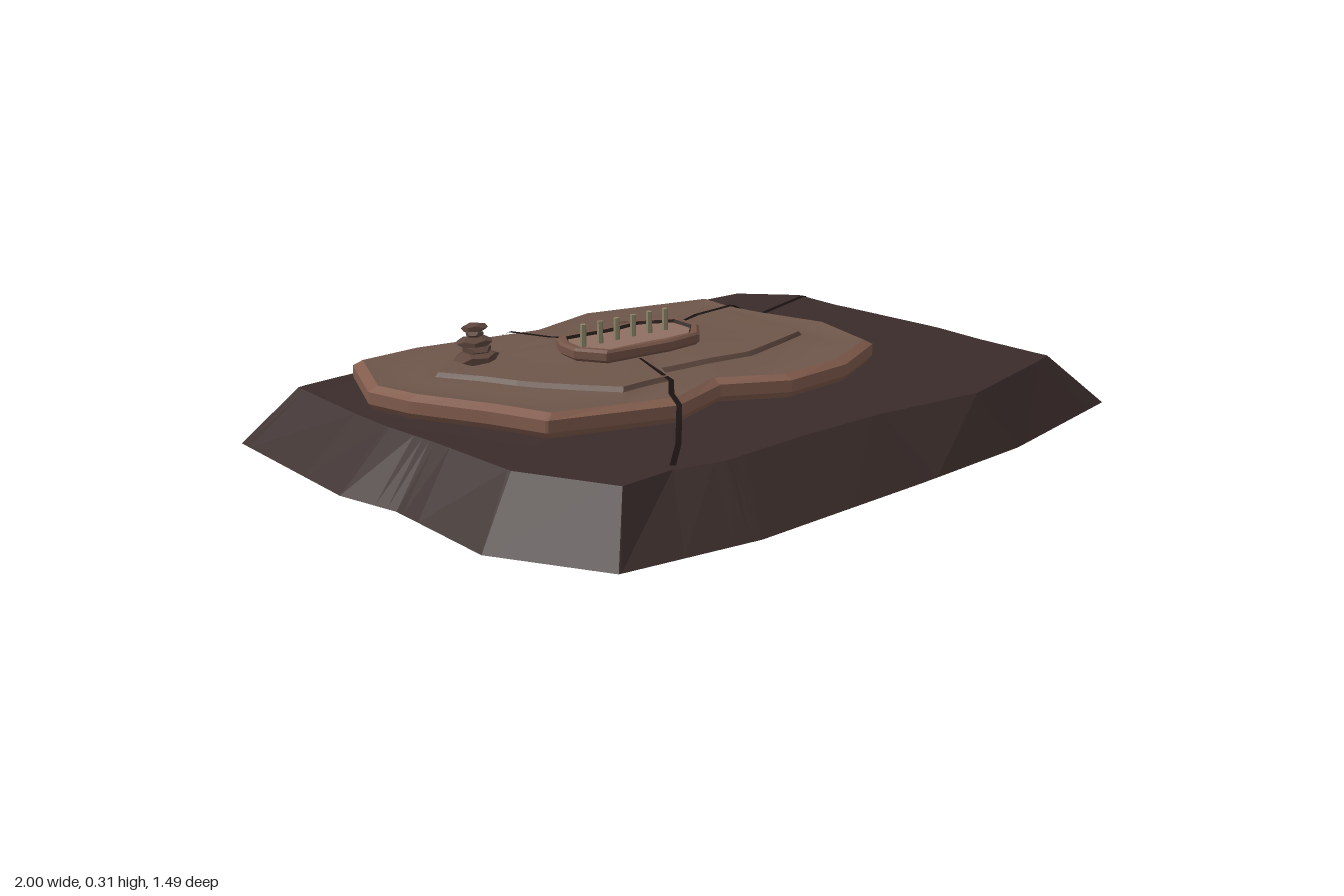
import * as THREE from 'three';

// Centre from which every outline is seen; all contours are star-shaped around it
const CX = -0.14, CZ = -0.1;

// Outlines as [x, z], running back-left, back, right, front, left
const baseFoot = [[-.98, -.625], [-.57, -.74], [-.3, -.75], [.82, -.685], [.97, -.485], [.96, -.3], [1, .08],
  [.96, .57], [.47, .68], [.09, .71], [-.46, .74], [-.82, .695], [-.97, .42], [-.96, .07], [-1, -.11]];
const baseTop = [[-.855, -.55], [-.5, -.6], [-.28, -.61], [.7, -.62], [.82, -.47], [.81, -.3], [.84, .08],
  [.82, .49], [.4, .6], [.09, .57], [-.43, .59], [-.56, .56], [-.72, .585], [-.84, .35], [-.85, .07], [-.86, -.11]];
const plate = [[-.73, -.49], [-.555, -.51], [-.315, -.48], [-.19, -.465], [.04, -.53], [.42, -.44], [.41, -.32],
  [.43, -.2], [.48, 0], [.42, .22], [.22, .32], [.01, .34], [-.15, .255], [-.34, .325], [-.65, .225],
  [-.705, .08], [-.8, -.12], [-.83, -.25]];
const terrace = [[-.54, -.33], [-.26, -.26], [-.1, -.31], [.3, -.36], [.32, -.24], [.315, .06], [.06, .14],
  [-.21, .11], [-.25, .18], [-.4, .19], [-.555, -.03], [-.66, -.22]];
const pad = [[-.305, -.2], [-.02, -.21], [.07, -.155], [.065, -.07], [.005, 0], [-.1, .015], [-.3, 0],
  [-.345, -.075], [-.335, -.145]];

// Shared directions: one through every corner of every outline
const angles = [baseFoot, baseTop, plate, terrace, pad].flat()
  .map(([x, z]) => Math.atan2(z - CZ, x - CX)).sort((a, b) => a - b)
  .filter((a, i, all) => i === 0 || a - all[i - 1] > 0.004);

// Distance from the centre to an outline in a given direction
function reach(outline, a) {
  const dx = Math.cos(a), dz = Math.sin(a);
  let best = 0;
  outline.forEach(([x1, z1], i) => {
    const [x2, z2] = outline[(i + 1) % outline.length];
    const ex = x2 - x1, ez = z2 - z1, px = x1 - CX, pz = z1 - CZ;
    const det = dx * ez - dz * ex;
    if (Math.abs(det) < 1e-9) return;
    const t = (px * ez - pz * ex) / det, s = (px * dz - pz * dx) / det;
    if (t > 0 && s > -1e-4 && s < 1 + 1e-4) best = Math.max(best, t);
  });
  return best;
}

// A ring of points on an outline, drawn in by "inset" and lifted to y, with an optional wave
const ring = (outline, y, inset = 0, wave = 0) => angles.map((a) => {
  const r = Math.max(0, reach(outline, a) - inset);
  return new THREE.Vector3(CX + r * Math.cos(a), y + wave * Math.sin(a * 5 + r * 9), CZ + r * Math.sin(a));
});
const blend = (a, b, t, y, wave) => a.map((p, i) => {
  const q = p.clone().lerp(b[i], t);
  q.y = y + wave * Math.sin(q.x * 13 + 1) * Math.cos(q.z * 12);
  return q;
});
const centre = (y) => angles.map(() => new THREE.Vector3(CX, y, CZ));

const material = (color, flatShading) =>
  new THREE.MeshStandardMaterial({ color, flatShading, side: THREE.DoubleSide });

// Open surface through rings, listed from outside to inside
function loft(name, rings, color, flat = true) {
  const n = angles.length, index = [];
  for (let r = 0; r < rings.length - 1; r++) {
    for (let i = 0; i < n; i++) {
      const j = (i + 1) % n, a = r * n + i, b = r * n + j;
      index.push(a, a + n, b, b, a + n, b + n);
    }
  }
  const g = new THREE.BufferGeometry().setFromPoints(rings.flat());
  g.setIndex(index);
  g.computeVertexNormals();
  const mesh = new THREE.Mesh(g, material(color, flat));
  mesh.name = name;
  return mesh;
}

// Thin tapering ribbon lying on the ground along [x, y, z] points
function crack(name, path, width) {
  const pts = path.map((p) => new THREE.Vector3(...p)), verts = [], index = [];
  pts.forEach((p, i) => {
    const d = pts[Math.min(i + 1, pts.length - 1)].clone().sub(pts[Math.max(i - 1, 0)]).setY(0).normalize();
    const w = width * (i === pts.length - 1 ? 0.25 : 0.5);
    verts.push(new THREE.Vector3(p.x - d.z * w, p.y, p.z + d.x * w), new THREE.Vector3(p.x + d.z * w, p.y, p.z - d.x * w));
    if (i) index.push(2 * i - 2, 2 * i - 1, 2 * i, 2 * i - 1, 2 * i + 1, 2 * i);
  });
  const g = new THREE.BufferGeometry().setFromPoints(verts);
  g.setIndex(index);
  g.computeVertexNormals();
  const mesh = new THREE.Mesh(g, material(0x1a1211, false));
  mesh.name = name;
  return mesh;
}

function stone(name, x, y, z, sx, sy, sz, turn) {
  const mesh = new THREE.Mesh(new THREE.DodecahedronGeometry(1, 0), material(0x5c453c, true));
  mesh.name = name;
  mesh.scale.set(sx, sy, sz);
  mesh.position.set(x, y, z);
  mesh.rotation.set(0.06 * Math.sin(turn), turn, 0.08 * Math.cos(turn));
  return mesh;
}

export function createModel() {
  const model = new THREE.Group();
  model.name = 'rockPlatform';

  // Dark bedrock: sloping sides and a nearly flat top
  const shoulder = ring(baseTop, 0.138, 0, 0.003), plateFoot = ring(plate, 0.142, 0.012);
  model.add(loft('bedrockSides', [ring(baseFoot, 0), shoulder], 0x3a2c2a));
  model.add(loft('bedrockTop', [shoulder, blend(shoulder, plateFoot, 0.5, 0.138, 0.004), plateFoot], 0x3a2c2a, false));

  // Upper slab: bevelled rim, then a gently rolling top
  const lip = ring(plate, 0.2, 0.025), step = ring(terrace, 0.199, 0, 0.002);
  model.add(loft('slabRim', [plateFoot, ring(plate, 0.157), ring(plate, 0.187), lip], 0x825c4d));
  model.add(loft('slabTop', [lip, blend(lip, step, 0.35, 0.193, 0.006), blend(lip, step, 0.7, 0.196, 0.006), step],
    0x6e564a, false));

  // Low terrace in the middle of the slab
  const ledge = ring(terrace, 0.21, 0.01, 0.002), padFoot = ring(pad, 0.213, 0.01);
  model.add(loft('terraceEdge', [step, ledge], 0x5f493f));
  model.add(loft('terraceTop', [ledge, blend(ledge, padFoot, 0.4, 0.208, 0.005), padFoot], 0x6e564a, false));

  // Raised pad with a rim around a slightly sunken floor
  const inner = ring(pad, 0.246, 0.024), floorEdge = ring(pad, 0.238, 0.029);
  model.add(loft('padRim', [padFoot, ring(pad, 0.221), ring(pad, 0.24), ring(pad, 0.246, 0.008), inner], 0x755447));
  model.add(loft('padGroove', [inner, floorEdge], 0x2c201c));
  model.add(loft('padFloor', [floorEdge, centre(0.24)], 0x8f7062));

  // Row of pegs on the pad
  const pegs = new THREE.Group();
  pegs.name = 'pegs';
  for (let i = 0; i < 6; i++) {
    const peg = new THREE.Mesh(new THREE.CylinderGeometry(0.008, 0.008, 0.058, 6), material(0x8c8468, true));
    peg.name = 'peg';
    peg.position.set(-0.295 + i * 0.0537, 0.267, -0.1);
    pegs.add(peg);
  }
  model.add(pegs);

  // Cairn of flat stones, and one loose stone behind the pad
  const cairn = new THREE.Group();
  cairn.name = 'cairn';
  [[-.52, .222, -.245, .06, .016, .056], [-.515, .242, -.25, .04, .013, .04],
    [-.525, .262, -.245, .047, .013, .045], [-.52, .281, -.25, .024, .01, .024],
    [-.522, .297, -.247, .034, .013, .034]].forEach((s, i) => cairn.add(stone('cairnStone', ...s, i * 1.3)));
  model.add(cairn);
  model.add(stone('looseStone', -0.045, 0.217, -0.25, 0.045, 0.016, 0.035, 0.6));

  // Cracks running from the pad, over the rim and across the bedrock
  model.add(crack('backCrack', [[-.37, .035, -.722], [-.355, .142, -.605], [-.285, .147, -.495], [-.28, .19, -.487],
    [-.27, .206, -.455], [-.22, .205, -.34], [-.18, .217, -.22]], 0.014));
  model.add(crack('rightCrack', [[.965, .012, -.49], [.81, .145, -.44], [.43, .148, -.305], [.42, .19, -.303],
    [.385, .207, -.295], [.2, .219, -.235], [.07, .22, -.18]], 0.016));
  model.add(crack('frontCrack', [[-.56, .145, .56], [-.45, .145, .45], [-.355, .147, .34], [-.345, .19, .33],
    [-.335, .207, .29], [-.26, .207, .2], [-.21, .218, .02]], 0.014));
  return model;
}
